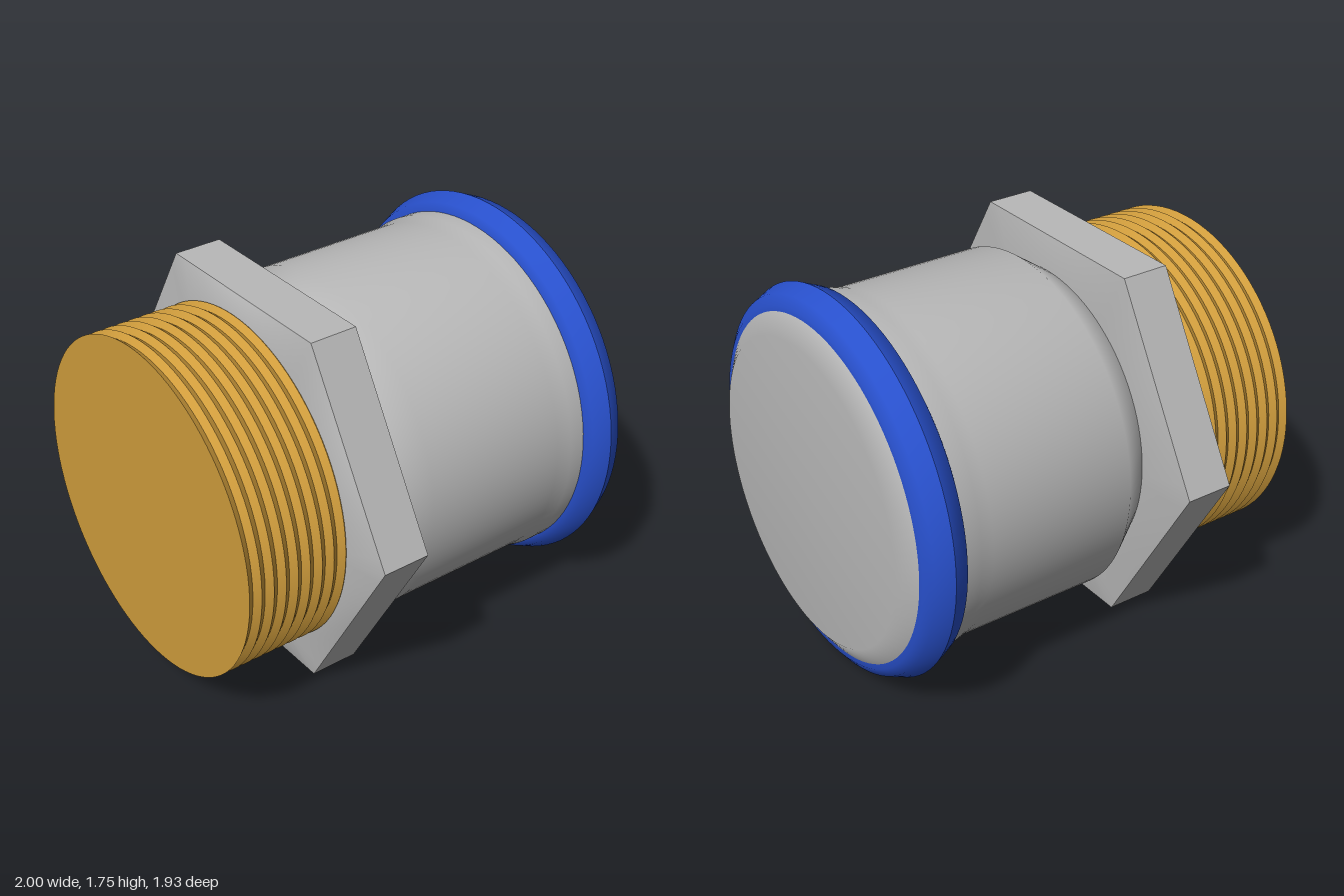
import * as THREE from 'three';
import { toCreasedNormals } from 'three/addons/utils/BufferGeometryUtils.js';

const CENTRE_Y = 0.878;
const SEGMENTS = 96;

const material = (name, color) => {
  const m = new THREE.MeshStandardMaterial({ color });
  m.name = name;
  return m;
};

// Revolves a profile of [position along x, radius] pairs, running from -x to +x.
function lathe(profile) {
  return new THREE.LatheGeometry(profile.map(([x, r]) => new THREE.Vector2(r, x)), SEGMENTS);
}

// Moves the wide rings of a revolved profile out onto a hexagon with corners on z.
function makeHexagonal(geometry, apothem) {
  const pos = geometry.attributes.position;
  const sector = Math.PI / 3;
  for (let i = 0; i < pos.count; i++) {
    const x = pos.getX(i), z = pos.getZ(i);
    if (Math.hypot(x, z) < apothem - 0.01) continue;
    const angle = Math.atan2(x, z) + Math.PI * 2;
    const fromCorner = angle - Math.round(angle / sector) * sector;
    const radius = apothem / Math.cos(sector / 2 - Math.abs(fromCorner));
    pos.setXYZ(i, radius * Math.sin(angle), pos.getY(i), radius * Math.cos(angle));
  }
  return geometry;
}

export function createModel() {
  const group = new THREE.Group();
  group.name = 'pipeFitting';
  const steel = material('steel grey', 0xb8b8b8);
  const brass = material('brass', 0xcf9c3c);
  const blue = material('blue', 0x2850cc);

  const add = (name, geometry, mat) => {
    geometry.rotateZ(-Math.PI / 2); // lathe axis onto x
    const mesh = new THREE.Mesh(geometry, mat);
    mesh.name = name;
    mesh.position.y = CENTRE_Y;
    group.add(mesh);
  };

  // Threaded end: closed face, then evenly spaced ridges
  const ridges = 8, start = -1, pitch = 0.0588;
  const thread = [[start, 0]];
  for (let i = 0; i <= ridges * 2; i++) {
    thread.push([start + i * pitch / 2, i % 2 ? 0.741 : 0.761]);
  }
  thread.push([-0.5, 0.741]);
  add('thread', toCreasedNormals(lathe(thread), 0.5), brass);

  // Hexagonal nut with faces sloping to round shoulders
  const nut = lathe([
    [-0.527, 0.7], [-0.525, 0.765], [-0.49, 0.835], [-0.27, 0.835], [-0.238, 0.69], [-0.238, 0.6],
  ]);
  add('hexNut', toCreasedNormals(makeHexagonal(nut, 0.835), 0.6), steel);

  // Sleeve with a tapered neck and a slight step near the seal
  add('sleeve', lathe([
    [-0.25, 0.68], [-0.238, 0.69], [-0.095, 0.79], [0.6, 0.79], [0.665, 0.804], [0.75, 0.804],
  ]), steel);

  // Seal ring, bulging to a ridge
  add('sealRing', toCreasedNormals(lathe([
    [0.738, 0.77], [0.738, 0.805], [0.758, 0.842], [0.835, 0.876],
    [0.912, 0.842], [0.942, 0.8], [0.942, 0.76],
  ]), 0.75), blue);

  // Closed end with a softened rim
  add('endCap', lathe([[0.938, 0.782], [1, 0.69], [1, 0]]), steel);

  return group;
}
